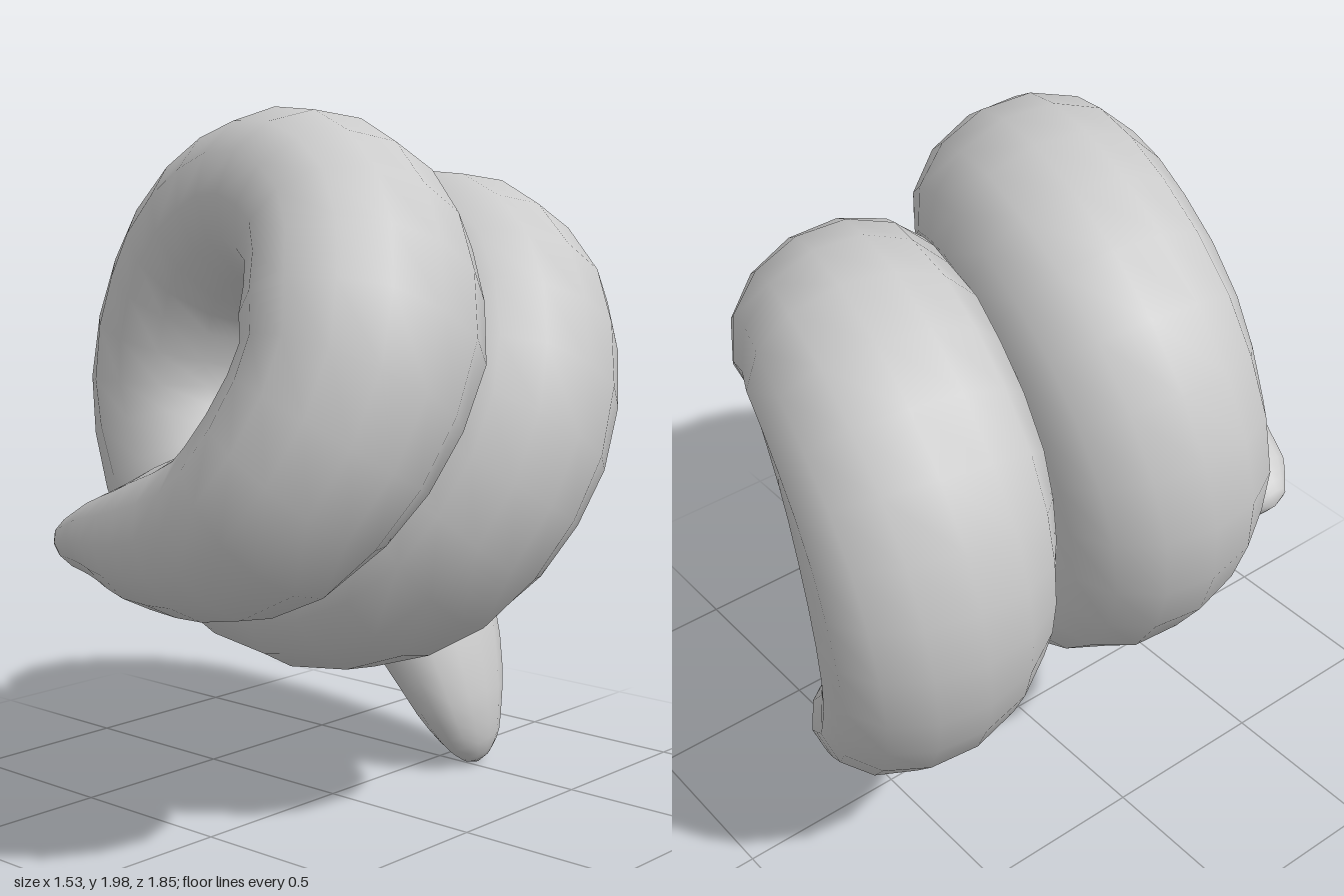
import * as THREE from 'three';

const SIDES = 14, STEPS = 66;

// Centre line of the coil: t = 0 at +x, a quarter turn later at the top
function coil(t) {
  const turn = t / (2 * Math.PI), c = 0.5 * Math.cos(t), s = 0.5 * Math.sin(t);
  return [c, 1.285 - 0.17 * turn + 0.96 * s, 0.43 - 0.63 * turn + 0.1 * c - 0.28 * s];
}

// Stations along the body: [x, y, z, radial half-width, axial half-width]
function stations() {
  const list = [
    [-0.42, 0.785, 0.62, 0.035, 0.06],
    [-0.34, 0.8, 0.62, 0.08, 0.13],
    [-0.2, 0.825, 0.62, 0.13, 0.18],
    [0.05, 0.86, 0.65, 0.2, 0.23],
    [0.34, 0.96, 0.635, 0.245, 0.29],
  ];
  for (let i = 0; i <= 10; i++) list.push([...coil(i * Math.PI / 4), 0.265, 0.325]);
  list.push(
    [-0.31, 1.37, -0.58, 0.265, 0.335],
    [-0.41, 1.04, -0.6, 0.25, 0.335],
    [-0.3, 0.69, -0.56, 0.23, 0.325],
    [-0.05, 0.42, -0.52, 0.17, 0.26],
    [0.075, 0.2, -0.505, 0.11, 0.175],
    [0.115, 0.08, -0.52, 0.065, 0.105],
    [0.122, 0.025, -0.53, 0.03, 0.05],
  );
  return list;
}

// Sweeps an oval along the stations, closing both tips to a point
function sweptBody() {
  const list = stations();
  const path = new THREE.CatmullRomCurve3(list.map(p => new THREE.Vector3(p[0], p[1], p[2])));
  const size = new THREE.CatmullRomCurve3(list.map(p => new THREE.Vector3(p[3], p[4], 0)));
  const axis = new THREE.Vector3(0.1, -0.28, -0.96).normalize();
  const pos = [], index = [];

  for (let i = 0; i <= STEPS; i++) {
    const u = i / STEPS;
    const centre = path.getPoint(u), r = size.getPoint(u), tangent = path.getTangent(u);
    const axial = axis.clone().addScaledVector(tangent, -axis.dot(tangent)).normalize();
    const radial = axial.clone().cross(tangent);
    for (let j = 0; j < SIDES; j++) {
      const a = j / SIDES * 2 * Math.PI;
      const p = centre.clone()
        .addScaledVector(radial, r.x * Math.cos(a))
        .addScaledVector(axial, r.y * Math.sin(a));
      pos.push(p.x, p.y, p.z);
    }
  }

  // Skin between neighbouring rings (radial x axial points back along the path)
  for (let i = 0; i < STEPS; i++) {
    for (let j = 0; j < SIDES; j++) {
      const a = i * SIDES + j, b = i * SIDES + (j + 1) % SIDES;
      const c = a + SIDES, d = b + SIDES;
      index.push(a, c, b, b, c, d);
    }
  }

  // Rounded tips
  for (const end of [0, 1]) {
    const tip = path.getPoint(end).addScaledVector(path.getTangent(end), end ? 0.02 : -0.02);
    const n = pos.length / 3, ring = end * STEPS * SIDES;
    pos.push(tip.x, tip.y, tip.z);
    for (let j = 0; j < SIDES; j++) {
      const a = ring + j, b = ring + (j + 1) % SIDES;
      if (end) index.push(a, n, b); else index.push(a, b, n);
    }
  }

  // Face outward: the signed volume must be positive
  let volume = 0;
  const v = k => new THREE.Vector3().fromArray(pos, k * 3);
  for (let i = 0; i < index.length; i += 3)
    volume += v(index[i]).dot(v(index[i + 1]).cross(v(index[i + 2])));
  if (volume < 0) index.reverse();

  const geometry = new THREE.BufferGeometry();
  geometry.setAttribute('position', new THREE.Float32BufferAttribute(pos, 3));
  geometry.setIndex(index);
  geometry.computeVertexNormals();
  return geometry;
}

export function createModel() {
  const group = new THREE.Group();
  group.name = 'coiledBody';
  const body = new THREE.Mesh(sweptBody(), new THREE.MeshStandardMaterial({ color: 0xcccccc }));
  body.name = 'coil';
  group.add(body);
  return group;
}
